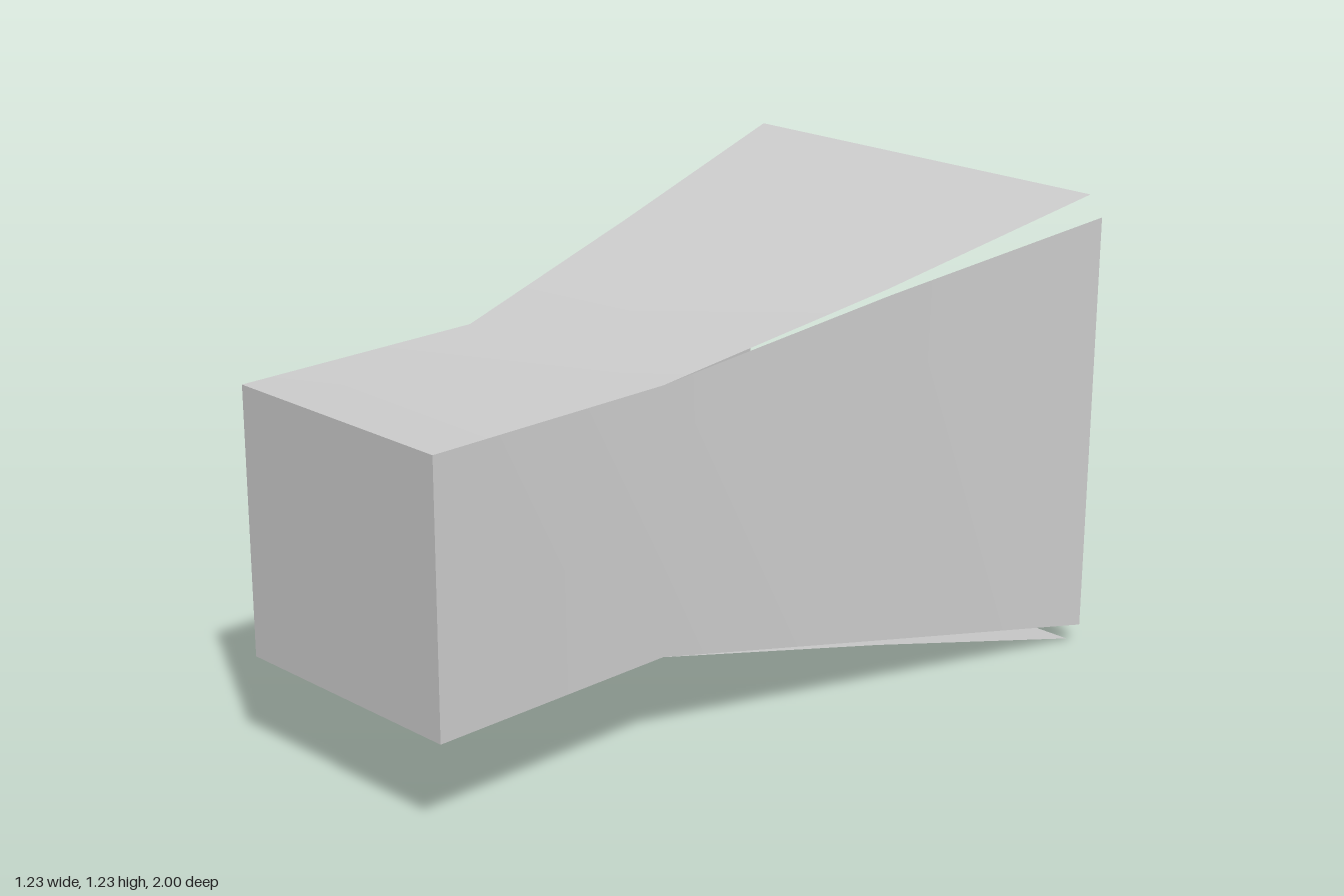
import * as THREE from 'three';

// Cross-sections from back to front: z, distance from the axis, half width
const WIDE = [[-1, 0.615, 0.575], [-0.35, 0.472, 0.465], [0.3, 0.345, 0.345], [1, 0.345, 0.345]];
const NARROW = [[-1, 0.615, 0.562], [-0.35, 0.472, 0.457], [0.3, 0.345, 0.345], [1, 0.345, 0.345]];

// Thin flared sheet facing +y, smooth along its length
function flaredPanel(rows) {
  const geo = new THREE.PlaneGeometry(2, 1, 1, rows.length - 1);
  const pos = geo.attributes.position;
  for (let i = 0; i < pos.count; i++) {
    const [z, offset, half] = rows[Math.floor(i / 2)];
    pos.setXYZ(i, (i % 2 ? 1 : -1) * half, offset, z);
  }
  geo.computeVertexNormals();
  return geo;
}

export function createModel() {
  const model = new THREE.Group();
  model.name = 'flaredDuct';
  const grey = new THREE.MeshStandardMaterial({ color: 0xcccccc, side: THREE.DoubleSide });
  grey.name = 'plain grey';

  // Four separate walls around the axis
  ['topPanel', 'leftPanel', 'bottomPanel', 'rightPanel'].forEach((name, i) => {
    const panel = new THREE.Mesh(flaredPanel(i % 2 ? NARROW : WIDE), grey);
    panel.name = name;
    panel.rotation.z = -i * Math.PI / 2;
    panel.position.y = 0.615;
    model.add(panel);
  });

  // Closed front end; the back stays open
  const front = new THREE.Mesh(new THREE.PlaneGeometry(0.69, 0.69), grey);
  front.name = 'frontPanel';
  front.position.set(0, 0.615, 1);
  model.add(front);

  return model;
}
